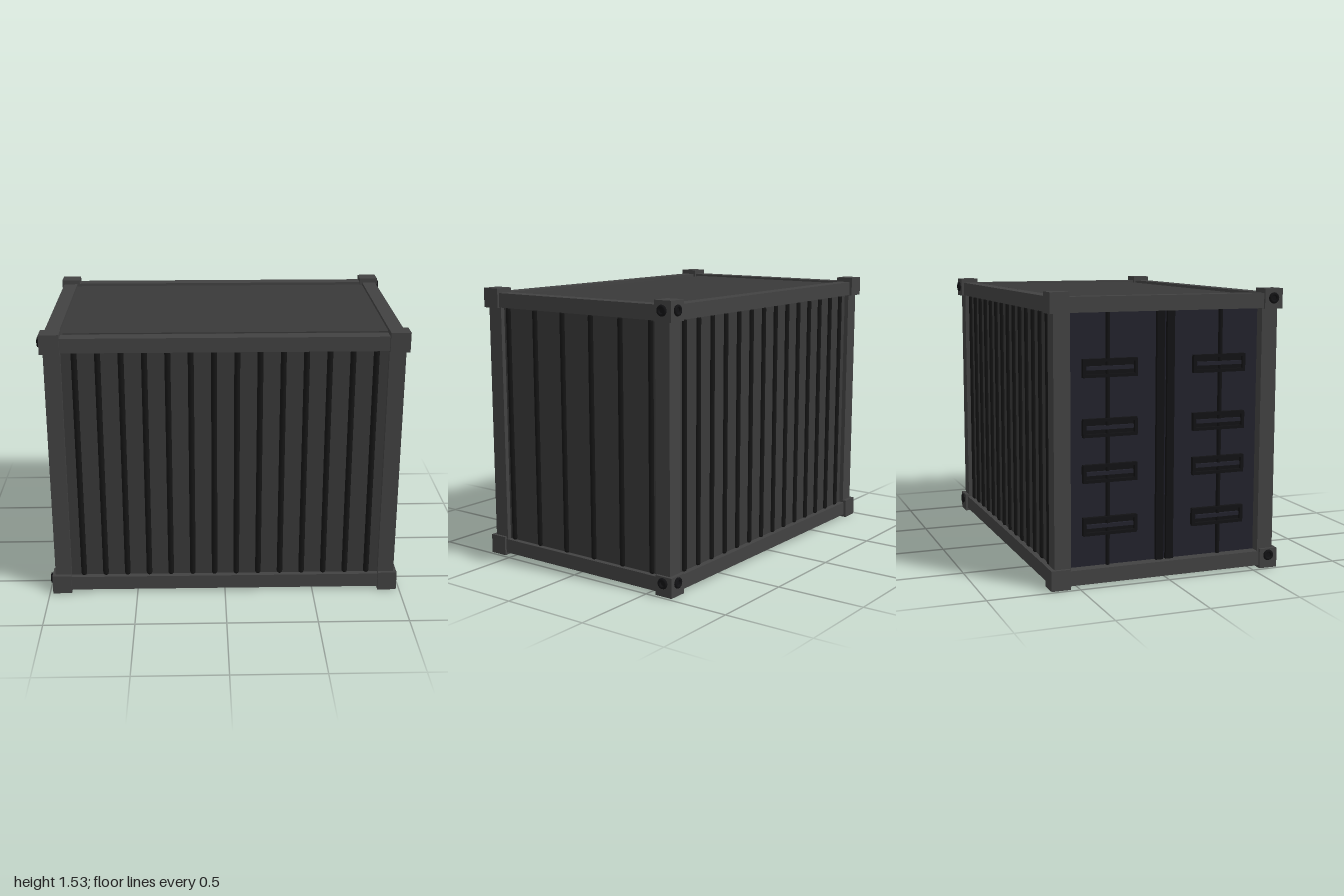
import * as THREE from 'three';

const mat = (color) => new THREE.MeshStandardMaterial({ color });

export function createModel() {
  const root = new THREE.Group();
  const frameMat = mat(0x424242), panelMat = mat(0x393939), ribMat = mat(0x151515);
  const doorMat = mat(0x22222c), blackMat = mat(0x121214);

  const add = (name, geo, material, x, y, z, parent = root) => {
    const m = new THREE.Mesh(geo, material);
    m.name = name;
    m.position.set(x, y, z);
    parent.add(m);
    return m;
  };
  // box given by its limits on each axis
  const box = (name, material, [x0, x1], [y0, y1], [z0, z1], parent) =>
    add(name, new THREE.BoxGeometry(x1 - x0, y1 - y0, z1 - z0), material,
      (x0 + x1) / 2, (y0 + y1) / 2, (z0 + z1) / 2, parent);
  const span = (s, a, b) => (s > 0 ? [a, b] : [-b, -a]);

  // corner posts and corner castings
  for (const sx of [1, -1]) for (const sz of [1, -1]) {
    box('cornerPost', frameMat, span(sx, 0.875, 0.965), [0.05, 1.48], span(sz, 0.54, 0.63));
    for (const y of [0, 1.425])
      box('cornerCasting', frameMat, span(sx, 0.875, 0.982), [y, y + 0.108], span(sz, 0.548, 0.652));
  }

  // top and bottom rails
  for (const [y0, y1] of [[0.015, 0.095], [1.428, 1.508]]) {
    for (const s of [1, -1]) {
      box('sideRail', frameMat, [-0.9, 0.9], [y0, y1], span(s, 0.56, 0.637));
      box('endRail', frameMat, span(s, 0.89, 0.97), [y0, y1], [-0.56, 0.56]);
    }
  }

  // roof sheet, with a shallow step inside the rails; the underside is open
  box('roof', panelMat, [-0.9, 0.9], [1.47, 1.492], [-0.57, 0.57]);
  box('roofSheet', panelMat, [-0.87, 0.885], [1.47, 1.498], [-0.5, 0.5]);

  // wall sheets
  for (const s of [1, -1])
    box('sideWall', panelMat, [-0.9, 0.9], [0.06, 1.46], span(s, 0.58, 0.605));
  box('endWall', panelMat, [0.915, 0.94], [0.06, 1.46], [-0.57, 0.57]);

  // vertical ribs
  const rib = new THREE.CapsuleGeometry(0.016, 1.31, 3, 10);
  for (let i = 0; i < 14; i++)
    for (const s of [1, -1]) add('sideRib', rib, ribMat, -0.805 + i * 0.1243, 0.762, s * 0.605);
  for (let i = 0; i < 6; i++) add('endRib', rib, ribMat, 0.94, 0.762, 0.505 - i * 0.2);

  // two doors, each with a locking rod and four lock boxes
  for (const s of [1, -1]) {
    const door = new THREE.Group();
    door.name = s > 0 ? 'frontDoor' : 'backDoor';
    root.add(door);
    box('doorLeaf', doorMat, [-0.91, -0.89], [0.06, 1.46], span(s, 0.005, 0.565), door);
    box('centreSeal', blackMat, [-0.93, -0.875], [0.09, 1.43], span(s, 0.008, 0.05), door);
    add('lockingRod', new THREE.CylinderGeometry(0.012, 0.012, 1.35, 10), blackMat,
      -0.915, 0.76, s * 0.32, door);
    for (const y of [0.31, 0.59, 0.83, 1.14]) {
      // frame open to the outside, with a dark back plate and a handle across it
      for (const e of [1, -1]) {
        box('lockFrame', blackMat, [-0.935, -0.87], [y + e * 0.04 - 0.008, y + e * 0.04 + 0.008],
          span(s, 0.16, 0.46), door);
        const z = 0.31 + e * 0.143;
        box('lockFrame', blackMat, [-0.935, -0.87], [y - 0.04, y + 0.04], span(s, z - 0.008, z + 0.008), door);
      }
      box('lockPlate', blackMat, [-0.915, -0.87], [y - 0.04, y + 0.04], span(s, 0.16, 0.46), door);
      box('lockHandle', doorMat, [-0.93, -0.912], [y - 0.01, y + 0.01], span(s, 0.18, 0.44), door);
    }
  }

  // lashing rings on two opposite corners
  const ringGeo = new THREE.TorusGeometry(0.021, 0.009, 8, 20);
  const holeGeo = new THREE.CircleGeometry(0.02, 20);
  const ring = (x, y, z, turn) => {
    const g = new THREE.Group();
    g.name = 'lashingRing';
    g.position.set(x, y, z);
    g.rotation.y = turn;
    add('ring', ringGeo, blackMat, 0, 0, 0.004, g);
    add('hole', holeGeo, blackMat, 0, 0, 0.002, g);
    root.add(g);
  };
  for (const y of [0.073, 1.482]) {
    ring(0.983, y, -0.598, Math.PI / 2);
    ring(0.93, y, -0.652, Math.PI);
    ring(-0.983, y, 0.598, -Math.PI / 2);
  }

  return root;
}
